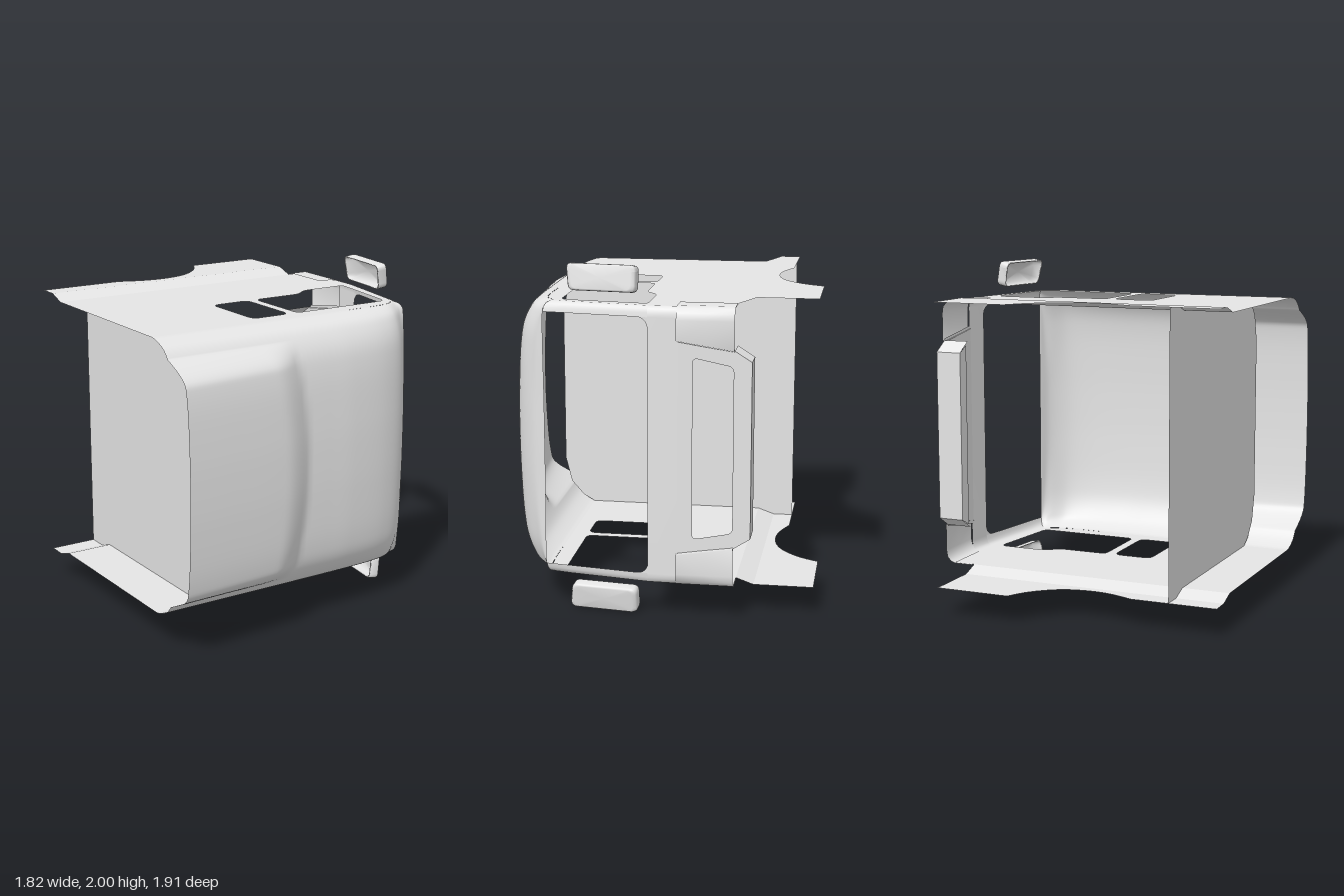
import * as THREE from 'three';

const paint = new THREE.MeshStandardMaterial({ color: 0xe5e5e5, side: THREE.DoubleSide });
paint.name = 'light grey';

function mesh(name, geo) {
  const m = new THREE.Mesh(geo, paint);
  m.name = name;
  return m;
}

const V = (x, y, z) => new THREE.Vector3(x, y, z);

// Skin through equal-length rows of Vector3
function loft(rows) {
  const n = rows[0].length, pos = [], idx = [];
  rows.forEach(r => r.forEach(p => pos.push(p.x, p.y, p.z)));
  for (let i = 0; i < rows.length - 1; i++) {
    for (let j = 0; j < n - 1; j++) {
      const a = i * n + j, b = a + n;
      idx.push(a, a + 1, b, b, a + 1, b + 1);
    }
  }
  const g = new THREE.BufferGeometry();
  g.setAttribute('position', new THREE.Float32BufferAttribute(pos, 3));
  g.setIndex(idx);
  g.computeVertexNormals();
  return g;
}

// Polygon with rounded corners
function rounded(path, pts, r) {
  const v = pts.map(p => new THREE.Vector2(...p)), n = v.length;
  v.forEach((p, i) => {
    const toward = q => p.clone().add(q.clone().sub(p).setLength(Math.min(r, q.distanceTo(p) * 0.45)));
    const a = toward(v[(i + n - 1) % n]), b = toward(v[(i + 1) % n]);
    if (i) path.lineTo(a.x, a.y); else path.moveTo(a.x, a.y);
    path.quadraticCurveTo(p.x, p.y, b.x, b.y);
  });
  path.closePath();
  return path;
}

const polygon = pts => new THREE.Shape(pts.map(p => new THREE.Vector2(...p)));
const spline = (pts, n) => new THREE.CatmullRomCurve3(pts, false, 'centripetal').getPoints(n);

// Cross-body profiles: half width h against reach t from side panel to outer skin
const front = { h: [.79, .785, .75, .7, .62, .5, .22, 0], t: [0, .12, .45, .64, .81, .91, .985, 1] };
const roof = { h: [.79, .79, .785, .775, .755, .73, .22, 0], t: [0, .2, .5, .75, .93, 1, 1, 1] };

// Stations around the body: outer x, z, side panel edge x, z, profile
const frontStations = [
  [-.91, .825, -.91, .57, front], [-.6, .824, -.6, .57, front], [-.27, .822, -.27, .57, front],
  [.1, .813, .1, .57, front], [.29, .805, .29, .57, front], [.54, .77, .54, .57, front],
  [.67, .72, .66, .56, front], [.765, .635, .72, .535, front], [.8, .56, .745, .5, roof],
];
const screenStations = [frontStations[8], [.82, .43, .775, .4, roof], [.89, -.04, .85, -.04, roof]];
const pillarStations = [screenStations[2], [.9, -.21, .85, -.21, roof]];

// Full-width section of a station
function section([ox, oz, ix, iz, { h, t }]) {
  const half = h.map((y, i) => V(ix + (ox - ix) * t[i], y, iz + (oz - iz) * t[i]));
  const other = half.slice(0, -1).reverse().map(p => V(p.x, -p.y, p.z));
  return [...half, ...other];
}

// Raised panel on the front: rises quickly from a rounded outline
function swell(p) {
  const ease = v => Math.sin(THREE.MathUtils.clamp(v, 0, 1) * Math.PI / 2);
  const h = Math.abs(p.y), edge = -.05 - .16 * h * h;
  const height = .082 + .048 * (-.27 - p.x) / .64;
  return height * ease((edge - p.x) / .2) * ease((.7 - h) / .12);
}

function frontSkin() {
  const raw = frontStations.map(section);
  const along = raw[0].map((_, j) => spline(raw.map(r => r[j]), 96));
  const rows = along[0].map((_, i) => spline(along.map(c => c[i]), 112));
  rows.flat().forEach(p => {
    p.y = THREE.MathUtils.clamp(p.y, -.79, .79);
    p.z += swell(p);
  });
  return loft(rows);
}

function sidePanel() {
  const edge = [...frontStations, ...screenStations.slice(1), pillarStations[1]].map(s => [s[2], -s[3]]);
  const s = polygon([...edge, [.85, .52], [-.91, .52]]);
  s.holes.push(rounded(new THREE.Path(), [[-.2, -.04], [.04, -.04], [.04, -.47], [-.2, -.47]], .05));
  s.holes.push(rounded(new THREE.Path(),
    [[.1, -.04], [.41, -.04], [.49, .03], [.79, .03], [.725, -.47], [.1, -.47]], .04));
  return new THREE.ShapeGeometry(s, 8).rotateX(-Math.PI / 2).translate(0, .79, 0);
}

// Rear flange with the wheel cut-out
function flange() {
  const s = new THREE.Shape();
  s.moveTo(-.91, .62);
  s.lineTo(.72, .62);
  s.lineTo(.72, .96);
  s.lineTo(.27, .96);
  s.splineThru([[.2, .84], [.1, .745], [0, .695], [-.13, .675], [-.26, .69], [-.4, .74]]
    .map(p => new THREE.Vector2(...p)));
  s.lineTo(-.91, .74);
  return new THREE.ShapeGeometry(s, 8).rotateX(-Math.PI / 2).translate(0, .825, 0);
}

// Hollow mirror cup, open towards -x
function mirrorCup() {
  const outline = rounded(new THREE.Shape(), [[-.2, -.075], [.205, -.075], [.185, .075], [-.2, .075]], .035).getPoints(6);
  const rings = [[.012, 0], [.012, .84], [-.033, .93], [-.033, 1], [.015, 1], [.028, .96], [.035, .86], [.035, 0]];
  return loft(rings.map(([x, k]) => outline.map(p => V(x, -p.y * k, p.x * k))).reverse());
}

// Rounded rear corner of the windscreen opening
function screenCorner() {
  const point = (z, y) => V(.89 - .149 * (z + .04), y, z);
  const rows = [0, 1, 2, 3, 4, 5, 6].map(i => {
    const a = i * Math.PI / 12;
    return [point(-.04, .73), point(.02 - .06 * Math.sin(a), .67 + .06 * Math.cos(a))];
  });
  return loft(rows);
}

// Parts that repeat on both sides, drawn for +y
function sideParts() {
  const g = new THREE.Group();
  g.add(mesh('sidePanel', sidePanel()), mesh('rearFlange', flange()));
  g.add(mesh('flangeStep', loft([
    [V(-.91, .79, -.52), V(.72, .79, -.52)], [V(-.91, .825, -.62), V(.72, .825, -.62)]])));
  g.add(mesh('windscreenRail', loft(screenStations.map(s => section(s).slice(0, 6)))));
  g.add(mesh('windscreenCorner', screenCorner()));

  // Raised bracket at the rear roof corner
  const bracket = [[.912, -.2, .61], [.912, -.36, .585], [.908, -.52, .56]].map(([x, z, low]) =>
    [V(.74, .795, z), V(.85, .795, z), V(.88, .785, z), V(.902, .76, z), V(x, .72, z), V(x, low, z), V(x - .02, low - .01, z)]);
  g.add(mesh('roofBracket', loft(bracket)));

  const cup = mesh('mirror', mirrorCup());
  cup.position.set(.775, .922, .23);
  cup.rotation.set(0, -.12, .17);
  g.add(cup);
  return g;
}

export function createModel() {
  const group = new THREE.Group();
  const body = new THREE.Group();
  body.name = 'body';
  body.position.y = 1;
  group.add(body);

  body.add(mesh('frontSkin', frontSkin()));
  body.add(mesh('roofPillar', loft(pillarStations.map(section))));

  // Rear roof frame around its window
  const frame = polygon([[.2, .62], [.52, .57], [.52, .56], [.615, .5], [.615, -.5], [.52, -.56], [.52, -.57], [.2, -.62]]);
  frame.holes.push(rounded(new THREE.Path(), [[.29, .515], [.515, .47], [.515, -.47], [.29, -.515]], .03));
  body.add(mesh('rearRoofFrame', new THREE.ShapeGeometry(frame, 6).rotateY(Math.PI / 2).translate(.895, 0, 0)));

  // Slightly raised trim strip ahead of the rear window
  const trim = rounded(new THREE.Shape(), [[.22, .53], [.285, .53], [.285, -.53], [.22, -.53]], .03);
  body.add(mesh('windowTrim', new THREE.ShapeGeometry(trim, 6).rotateY(Math.PI / 2).translate(.902, 0, 0)));

  // Rear bar wrapped behind the window
  const bar = [[-.52, .56], [-.615, .5], [-.615, -.5], [-.52, -.56]];
  for (let i = 0; i < 3; i++) {
    const strip = [.895, .74].map(x => [bar[i], bar[i + 1]].map(([z, y]) => V(x, y, z)));
    body.add(mesh('rearBar', loft(strip)));
  }
  const lip = polygon([[.54, .54], [.615, .5], [.615, -.5], [.54, -.54]]);
  body.add(mesh('rearBarLip', new THREE.ShapeGeometry(lip).rotateY(Math.PI / 2).translate(.74, 0, 0)));

  // Upright inner wall
  const half = [[.74, .825], [.62, .825], [.52, .79], [-.57, .79], [-.64, .75], [-.72, .66], [-.76, .5]];
  const wall = polygon([...half, ...half.map(([a, b]) => [a, -b]).reverse()]);
  body.add(mesh('innerWall', new THREE.ShapeGeometry(wall).rotateY(Math.PI / 2).translate(-.625, 0, 0)));

  // Both sides
  const upper = sideParts(), lower = sideParts();
  upper.name = 'upperSide';
  lower.name = 'lowerSide';
  lower.scale.y = -1;
  body.add(upper, lower);
  return group;
}
